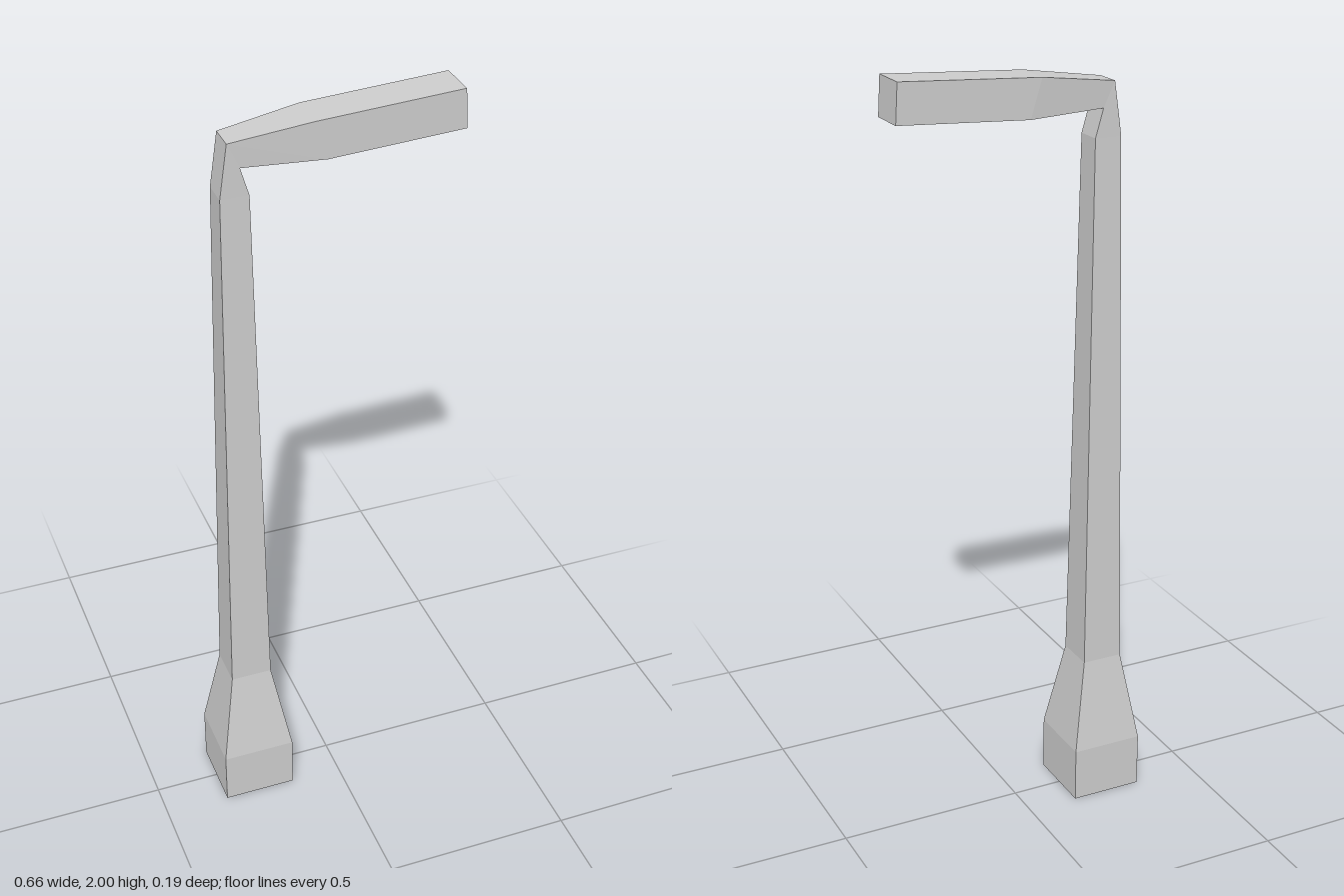
import * as THREE from 'three';

// Sections along the lamp: [outer x, outer y, inner x, inner y, half depth]
const SECTIONS = {
  base: [
    [-0.329, 0, -0.136, 0, 0.097],
    [-0.329, 0.147, -0.136, 0.147, 0.097],
    [-0.289, 0.392, -0.18, 0.392, 0.055],
  ],
  pole: [
    [-0.289, 0.392, -0.18, 0.392, 0.055],
    [-0.269, 1.815, -0.198, 1.815, 0.036],
    [-0.249, 1.951, -0.219, 1.887, 0.036],
  ],
  arm: [
    [-0.249, 1.951, -0.219, 1.887, 0.036],
    [-0.045, 1.979, -0.015, 1.881, 0.053],
    [0.323, 2, 0.329, 1.9, 0.053],
  ],
};

// Joins four-cornered sections into a faceted tube, with optional end caps
function loft(sections, capStart, capEnd) {
  const rings = sections.map(([ax, ay, bx, by, d]) => [
    [ax, ay, d], [ax, ay, -d], [bx, by, -d], [bx, by, d],
  ]);
  const positions = [];
  const quad = (a, b, c, d) => positions.push(...a, ...b, ...c, ...a, ...c, ...d);
  for (let i = 0; i < rings.length - 1; i++) {
    const [low, high] = [rings[i], rings[i + 1]];
    for (let k = 0; k < 4; k++) {
      const n = (k + 1) % 4;
      quad(low[n], low[k], high[k], high[n]);
    }
  }
  if (capStart) quad(...rings[0]);
  if (capEnd) quad(...[...rings[rings.length - 1]].reverse());
  const geometry = new THREE.BufferGeometry();
  geometry.setAttribute('position', new THREE.Float32BufferAttribute(positions, 3));
  geometry.computeVertexNormals();
  return geometry;
}

export function createModel() {
  const group = new THREE.Group();
  group.name = 'streetLamp';
  const material = new THREE.MeshStandardMaterial({ color: 0xcccccc, flatShading: true });

  // Square foot, tapering pole up to the mitred elbow, and lamp arm
  for (const [name, sections] of Object.entries(SECTIONS)) {
    const mesh = new THREE.Mesh(loft(sections, name === 'base', name === 'arm'), material);
    mesh.name = name;
    group.add(mesh);
  }
  return group;
}
